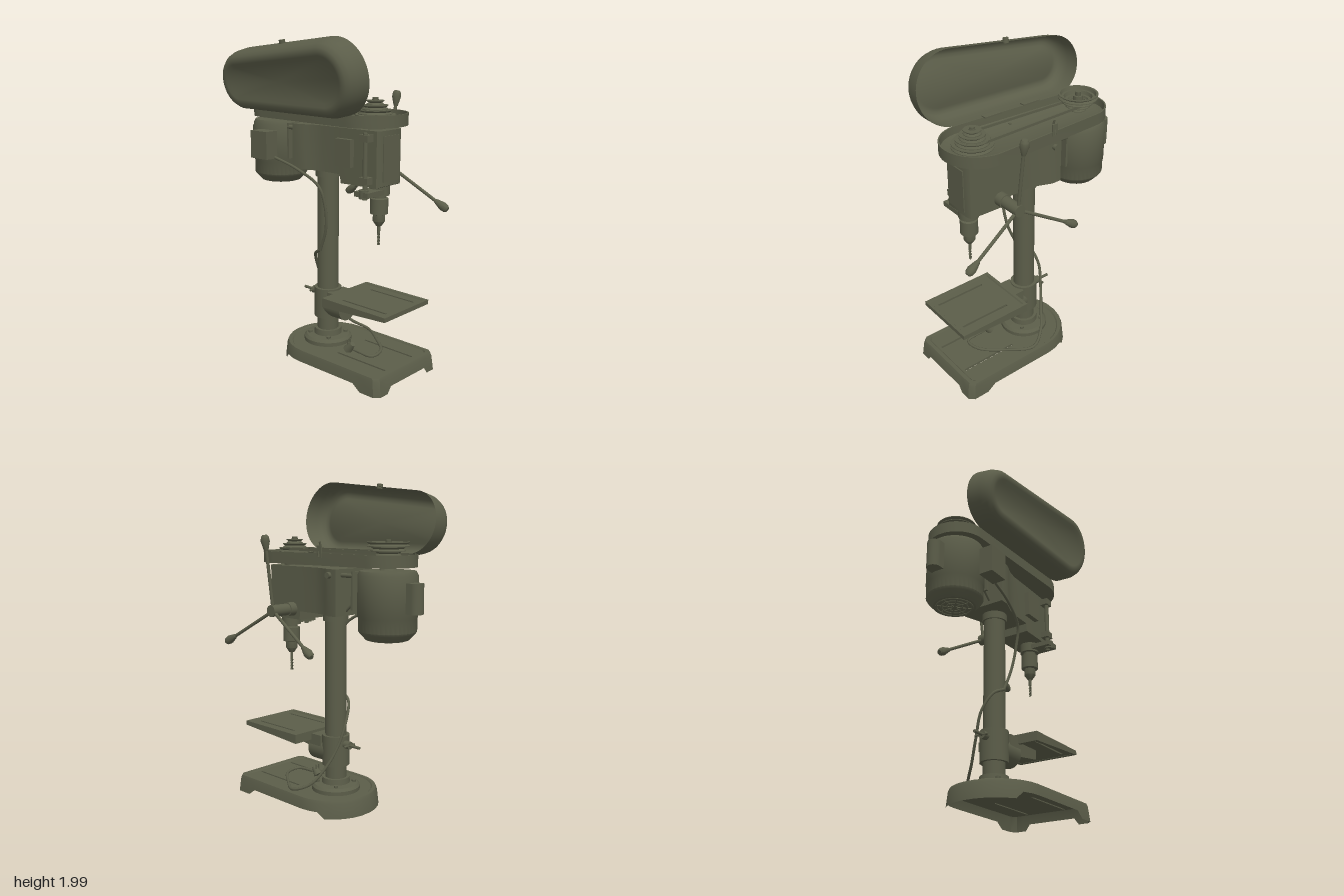
import * as THREE from 'three';
import { toCreasedNormals } from 'three/addons/utils/BufferGeometryUtils.js';

const CX = 0.04; // column axis
const V = (x, y, z) => new THREE.Vector3(x, y, z);

export function createModel() {
  const model = new THREE.Group();
  model.name = 'drillPress';
  const olive = new THREE.MeshStandardMaterial({ color: 0x5b5d49, side: THREE.DoubleSide });
  olive.name = 'olive paint';

  const add = (name, geo, x = 0, y = 0, z = 0, parent = model) => {
    const m = new THREE.Mesh(geo, olive);
    m.name = name;
    m.position.set(x, y, z);
    parent.add(m);
    return m;
  };
  const box = (name, w, h, d, x, y, z) => add(name, new THREE.BoxGeometry(w, h, d), x, y, z);
  const cyl = (name, r, y0, y1, x, z, r2 = r, seg = 32) =>
    add(name, new THREE.CylinderGeometry(r2, r, y1 - y0, seg), x, (y0 + y1) / 2, z);
  const lathe = (name, pts, x, y, z, seg = 40) => add(name, toCreasedNormals(
    new THREE.LatheGeometry(pts.map(p => new THREE.Vector2(...p)), seg), 0.6), x, y, z);
  const tube = (name, pts, r, seg = 60) => add(name, new THREE.TubeGeometry(
    new THREE.CatmullRomCurve3(pts.map(p => V(...p))), seg, r, 8));
  const rod = (name, a, b, r) => {
    const m = add(name, new THREE.CylinderGeometry(r, r, a.distanceTo(b), 20));
    m.position.lerpVectors(a, b, 0.5);
    m.quaternion.setFromUnitVectors(V(0, 1, 0), b.clone().sub(a).normalize());
    return m;
  };

  // Skin closed rings of points; optional fan caps at either end
  const loft = (rings, capStart = false, capEnd = false) => {
    const n = rings[0].length, pos = [], idx = [];
    rings.forEach(r => r.forEach(p => pos.push(p.x, p.y, p.z)));
    for (let i = 0; i < rings.length - 1; i++) for (let j = 0; j < n; j++) {
      const a = i * n + j, b = i * n + (j + 1) % n;
      idx.push(a, b, a + n, b, b + n, a + n);
    }
    const cap = (k, flip) => {
      const c = rings[k].reduce((s, p) => s.add(p), V(0, 0, 0)).divideScalar(n), ci = pos.length / 3;
      pos.push(c.x, c.y, c.z);
      for (let j = 0; j < n; j++) {
        const a = k * n + j, b = k * n + (j + 1) % n;
        flip ? idx.push(b, a, ci) : idx.push(a, b, ci);
      }
    };
    if (capStart) cap(0, true);
    if (capEnd) cap(rings.length - 1, false);
    const g = new THREE.BufferGeometry();
    g.setAttribute('position', new THREE.Float32BufferAttribute(pos, 3));
    g.setIndex(idx);
    return toCreasedNormals(g, 0.6);
  };

  // Horizontal plate with long slots, given its outline as [x, z]
  const slottedPlate = (name, outline, top, thick, z0, z1) => {
    const s = new THREE.Shape(outline.map(p => new THREE.Vector2(...p)));
    for (const x of [-0.09, 0.17]) {
      s.holes.push(new THREE.Path([[x - 0.007, z0], [x - 0.007, z1], [x + 0.007, z1], [x + 0.007, z0]]
        .map(p => new THREE.Vector2(...p))));
    }
    const g = new THREE.ExtrudeGeometry(s, { depth: thick, bevelEnabled: false });
    add(name, g.rotateX(Math.PI / 2), 0, top, 0);
  };

  // Tapered stadium outline in (u, v): big end at +u, small end at -u
  const stadium = (r1, r2, u1, u2, seg = 24) => {
    const a = Math.asin((r1 - r2) / (u1 - u2)), h = Math.PI / 2 + a, pts = [];
    for (let i = 0; i <= seg; i++) {
      const t = -h + 2 * h * i / seg;
      pts.push([u1 + r1 * Math.cos(t), r1 * Math.sin(t)]);
    }
    for (let i = 0; i <= seg; i++) {
      const t = h + (2 * Math.PI - 2 * h) * i / seg;
      pts.push([u2 + r2 * Math.cos(t), r2 * Math.sin(t)]);
    }
    return pts;
  };

  // Base: hollow skirt with feet, rounded at the back, and a slotted deck
  const half = [[0.16, 0.64, 0.04], [0.19, 0.64, 0], [0.255, 0.64, 0], [0.285, 0.61, 0],
    [0.285, 0.51, 0], [0.285, 0.455, 0.04], [0.285, 0.02, 0.04]];
  for (const [deg, y] of [[12, 0.04], [25, 0.04], [34, 0], [46, 0], [58, 0], [70, 0], [82, 0]]) {
    const t = deg * Math.PI / 180;
    half.push([0.285 * Math.cos(t), 0.02 - 0.28 * Math.sin(t), y]);
  }
  const foot = [...half, ...half.map(([x, z, y]) => [-x, z, y]).reverse()];
  const baseRing = (k, y) => foot.map(([x, z, b]) => V(CX + x * k, y ?? b, 0.19 + (z - 0.19) * k));
  add('baseSkirt', loft([baseRing(1), baseRing(0.975, 0.09), baseRing(0.955, 0.108), baseRing(0.9, 0.108), baseRing(0.88, 0.1)]));
  slottedPlate('baseDeck', baseRing(0.885, 0).map(p => [p.x, p.z]), 0.101, 0.015, 0.2, 0.57);

  // Column with flange and bolts
  lathe('columnFlange', [[0, 0.085], [0.15, 0.085], [0.15, 0.125], [0.135, 0.14], [0.088, 0.145], [0.084, 0.18], [0.06, 0.18]], CX, 0, 0);
  for (let i = 0; i < 4; i++) {
    const t = Math.PI / 4 + i * Math.PI / 2;
    cyl('flangeBolt', 0.014, 0.13, 0.155, CX + 0.112 * Math.cos(t), 0.112 * Math.sin(t), 0.014, 6);
  }
  cyl('column', 0.066, 0.1, 1.24, CX, 0);
  cyl('columnSocket', 0.077, 1.16, 1.22, CX, 0);

  // Work table and its bracket
  const tableRing = (inset, yFront, yBack) => [[0.25, 0.62], [0.25, 0.14], [-0.165, 0.14], [-0.165, 0.62]]
    .map(([x, z]) => V(x + (x > 0 ? -inset : inset), z > 0.3 ? yFront : yBack, z + (z > 0.3 ? -inset : inset)));
  add('tableRim', loft([tableRing(0.022, 0.43, 0.4), tableRing(0, 0.43, 0.4), tableRing(0, 0.457, 0.457),
    tableRing(0.018, 0.457, 0.457), tableRing(0.024, 0.448, 0.448)]));
  slottedPlate('tableTop', tableRing(0.015, 0, 0).map(p => [p.x, p.z]), 0.449, 0.014, 0.24, 0.57);
  cyl('tableCollar', 0.085, 0.26, 0.45, CX, 0);
  add('tableTrunnion', new THREE.CylinderGeometry(0.08, 0.08, 0.165, 32).rotateX(Math.PI / 2), CX, 0.345, 0.083);
  box('trunnionPad', 0.15, 0.07, 0.1, CX, 0.405, 0.11);
  const arm = new THREE.Shape([[0.13, 0.435], [0.41, 0.435], [0.41, 0.375], [0.13, 0.335]].map(p => new THREE.Vector2(...p)));
  add('tableArm', new THREE.ExtrudeGeometry(arm, { depth: 0.07, bevelEnabled: false }).rotateY(-Math.PI / 2), CX + 0.035, 0, 0);
  rod('tableLock', V(CX, 0.4, -0.07), V(CX, 0.4, -0.2), 0.009);
  rod('tableLockHub', V(CX, 0.4, -0.07), V(CX, 0.4, -0.125), 0.024);
  rod('tableLockBar', V(CX - 0.04, 0.4, -0.12), V(CX + 0.05, 0.4, -0.12), 0.007);

  // Drill head: sections of [z, half width, bottom], flaring at the back
  const sections = [[0.48, 0.085, 1.165], [0.465, 0.108, 1.158], [0.2, 0.112, 1.155], [0.198, 0.112, 1.207],
    [0.06, 0.113, 1.207], [0, 0.122, 1.207], [-0.05, 0.14, 1.207], [-0.09, 0.155, 1.207], [-0.15, 0.155, 1.207]];
  add('head', loft(sections.map(([z, w, b]) => [V(CX - w, b, z), V(CX + w, b, z), V(CX + w, 1.48, z), V(CX - w, 1.48, z)]), true, true));
  box('headFrontPanel', 0.14, 0.26, 0.01, CX, 1.32, 0.481);
  cyl('spindleNeck', 0.066, 1.47, 1.51, CX, 0.36);

  // Quill, chuck and bit
  const QX = 0.036, QZ = 0.405;
  cyl('quill', 0.06, 1.1, 1.17, QX, QZ);
  lathe('chuck', [[0, 1.1], [0.04, 1.1], [0.04, 1.085], [0.053, 1.08], [0.053, 0.99], [0.036, 0.985], [0.036, 0.945], [0.016, 0.915], [0, 0.915]], QX, 0, QZ, 24);
  cyl('drillShank', 0.009, 0.87, 0.93, QX, QZ, 0.009, 10);
  const flutes = [0, Math.PI].map(o => Array.from({ length: 17 }, (_, i) =>
    [QX + 0.005 * Math.cos(i * 0.8 + o), 0.8 + i * 0.005, QZ + 0.005 * Math.sin(i * 0.8 + o)]));
  flutes.forEach(f => tube('drillFlute', f, 0.0045, 40));

  // Depth stop on the right of the head
  box('depthStopClamp', 0.17, 0.03, 0.1, -0.05, 1.125, 0.41);
  cyl('depthStopRod', 0.014, 1.09, 1.47, -0.1, 0.41, 0.014, 12);
  cyl('depthStopNut', 0.028, 1.1, 1.15, -0.11, 0.41, 0.028, 12);
  for (const y of [1.2, 1.44]) box('depthStopLug', 0.06, 0.04, 0.06, -0.09, y, 0.41);
  box('switchBox', 0.035, 0.16, 0.12, -0.085, 1.34, 0.24);

  // Feed hub and three handles
  const HY = 1.218, HZ = 0.262;
  rod('feedBoss', V(0.13, HY, HZ), V(0.2, HY, HZ), 0.042);
  rod('feedHub', V(0.18, HY, HZ), V(0.33, HY, HZ), 0.036);
  for (let i = 0; i < 3; i++) {
    const t = Math.PI / 2 + i * Math.PI * 2 / 3, at = (x, r) => V(x, HY + r * Math.sin(t), HZ + r * Math.cos(t));
    rod('feedSpoke', at(0.31, 0), at(0.358, 0.38), 0.01);
    const knob = lathe('feedKnob', [[0, 0], [0.013, 0], [0.027, 0.055], [0.024, 0.08], [0.015, 0.093], [0, 0.093]], 0, 0, 0, 16);
    knob.position.copy(at(0.357, 0.36));
    knob.quaternion.setFromUnitVectors(V(0, 1, 0), at(0.367, 0.45).sub(at(0.357, 0.36)).normalize());
  }

  // Belt guard tray with floor screws
  const trayRing = (inset, y) => stadium(0.215 - inset, 0.18 - inset, 0.33, -0.395).map(([u, v]) => V(CX + v, y, u));
  add('guardTray', loft([trayRing(0, 1.5), trayRing(0, 1.57), trayRing(0.008, 1.57), trayRing(0.012, 1.525), trayRing(0.04, 1.51)], true, true));
  for (const x of [-0.09, 0.175]) for (const z of [0, 0.2]) cyl('trayScrew', 0.008, 1.505, 1.518, x, z, 0.008, 8);

  // Step pulleys: a cone at the spindle, an inverted cone with a stepped bowl at the motor
  const groove = (r, y, h) => [[r, y], [r, y + 0.004], [r - 0.012, y + h / 2], [r, y + h - 0.004], [r, y + h]];
  const steps = [0.12, 0.097, 0.074, 0.051], H = 0.026;
  lathe('spindlePulley', [[0, 0], ...steps.flatMap((r, i) => groove(r, i * H, H)), [0.02, 4 * H], [0.02, 4 * H + 0.006], [0, 4 * H + 0.006]], CX, 1.535, 0.362);
  const bowl = [[0.107, 0.104], [0.1, 0.085], [0.085, 0.085], [0.078, 0.065], [0.062, 0.065], [0.055, 0.048], [0.03, 0.048], [0.028, 0.09], [0, 0.09]];
  lathe('motorPulley', [[0, 0], ...[...steps].reverse().flatMap((r, i) => groove(r, i * H, H)), ...bowl], CX, 1.535, -0.412);
  cyl('spindleNut', 0.018, 1.63, 1.655, CX, 0.362, 0.018, 6);
  cyl('motorNut', 0.018, 1.62, 1.65, CX, -0.412, 0.018, 6);

  // Belt
  const beltRing = (inset, y) => stadium(0.082 - inset, 0.058 - inset, 0.362, -0.412).map(([u, v]) => V(CX + v, y, u));
  add('belt', loft([beltRing(0, 1.572), beltRing(0, 1.588), beltRing(0.009, 1.588), beltRing(0.009, 1.572), beltRing(0, 1.572)]));

  // Opened belt cover, hinged along the tray
  const lid = new THREE.Group();
  lid.name = 'beltCover';
  const along = V(-0.05, 0, 1).normalize(), up = V(-0.165, 0.985, 0).normalize();
  const back = along.clone().cross(up).normalize();
  lid.applyMatrix4(new THREE.Matrix4().makeBasis(along, back.clone().cross(along), back).setPosition(-0.162, 1.565, 0));
  const lidRing = (inset, d) => stadium(0.218 - inset, 0.183 - inset, 0.32, -0.4).map(([u, v]) => V(u, v, d));
  const cover = add('coverShell', loft([lidRing(0, 0), lidRing(0.006, 0.085), lidRing(0.018, 0.12), lidRing(0.036, 0.142),
    lidRing(0.056, 0.15), lidRing(0.078, 0.148), lidRing(0.1, 0.138)], false, true), 0, 0.202, 0, lid);
  cover.rotation.z = 0.048;
  add('coverCatch', new THREE.CylinderGeometry(0.018, 0.018, 0.03, 16), -0.09, 0.4, 0.022, lid);
  model.add(lid);
  for (const z of [-0.205, 0.08]) box('hinge', 0.04, 0.008, 0.12, -0.16, 1.572, z);
  tube('coverLatch', [[0.24, 1.55, -0.06], [0.235, 1.58, -0.06], [0.222, 1.6, -0.06], [0.23, 1.635, -0.06]], 0.006, 16);
  box('latchPlate', 0.009, 0.07, 0.036, 0.235, 1.58, -0.06);

  // Motor with vents, rear housing and terminal box
  const MZ = -0.412;
  lathe('motorBody', [[0, 1.09], [0.125, 1.09], [0.158, 1.125], [0.168, 1.14], [0.168, 1.215], [0.172, 1.222],
    [0.172, 1.455], [0.16, 1.478], [0.05, 1.482], [0.035, 1.51], [0, 1.51]], CX, 0, MZ);
  for (const r of [0.045, 0.075, 0.105]) add('motorGrille', new THREE.TorusGeometry(r, 0.006, 6, 32).rotateX(Math.PI / 2), CX, 1.09, MZ);
  for (let i = 0; i < 4; i++) add('grilleBar', new THREE.BoxGeometry(0.22, 0.008, 0.008), CX, 1.089, MZ).rotation.y = i * Math.PI / 4;
  cyl('rearHousing', 0.043, 1.25, 1.42, CX, -0.615, 0.043, 24);
  box('rearHousingBase', 0.086, 0.17, 0.07, CX, 1.335, -0.58);
  box('terminalBox', 0.09, 0.17, 0.14, -0.175, 1.34, -0.34);

  // Motor mounting plate and slide rods
  box('motorPlate', 0.22, 0.22, 0.014, CX, 1.36, -0.236);
  for (const x of [-0.06, 0.14]) rod('motorSlide', V(x, 1.445, -0.05), V(x, 1.445, -0.24), 0.013);
  for (const x of [-0.02, 0.1]) rod('motorBrace', V(x, 1.23, -0.14), V(x, 1.31, -0.23), 0.008);
  rod('tensionKnob', V(0.16, 1.445, -0.1), V(0.215, 1.445, -0.1), 0.018);

  // Power cords and plug
  tube('upperCord', [[-0.15, 1.27, -0.3], [-0.13, 1.21, -0.1], [-0.1, 1.12, 0.05], [-0.07, 1.0, 0.075], [-0.045, 0.85, 0.06], [-0.03, 0.7, 0]], 0.009);
  tube('lowerCord', [[-0.03, 0.7, 0], [0, 0.66, -0.07], [0.06, 0.55, -0.105], [0.11, 0.4, -0.085], [0.17, 0.27, -0.04], [0.24, 0.17, 0.02],
    [0.29, 0.125, 0.12], [0.2, 0.118, 0.27], [0.08, 0.118, 0.4], [-0.02, 0.118, 0.41], [-0.03, 0.125, 0.28]], 0.009, 90);
  add('plug', new THREE.CylinderGeometry(0.016, 0.03, 0.06, 16).rotateX(0.7), -0.03, 0.135, 0.25);
  for (const x of [-0.042, -0.018]) box('plugPin', 0.006, 0.03, 0.008, x, 0.165, 0.24);

  return model;
}
